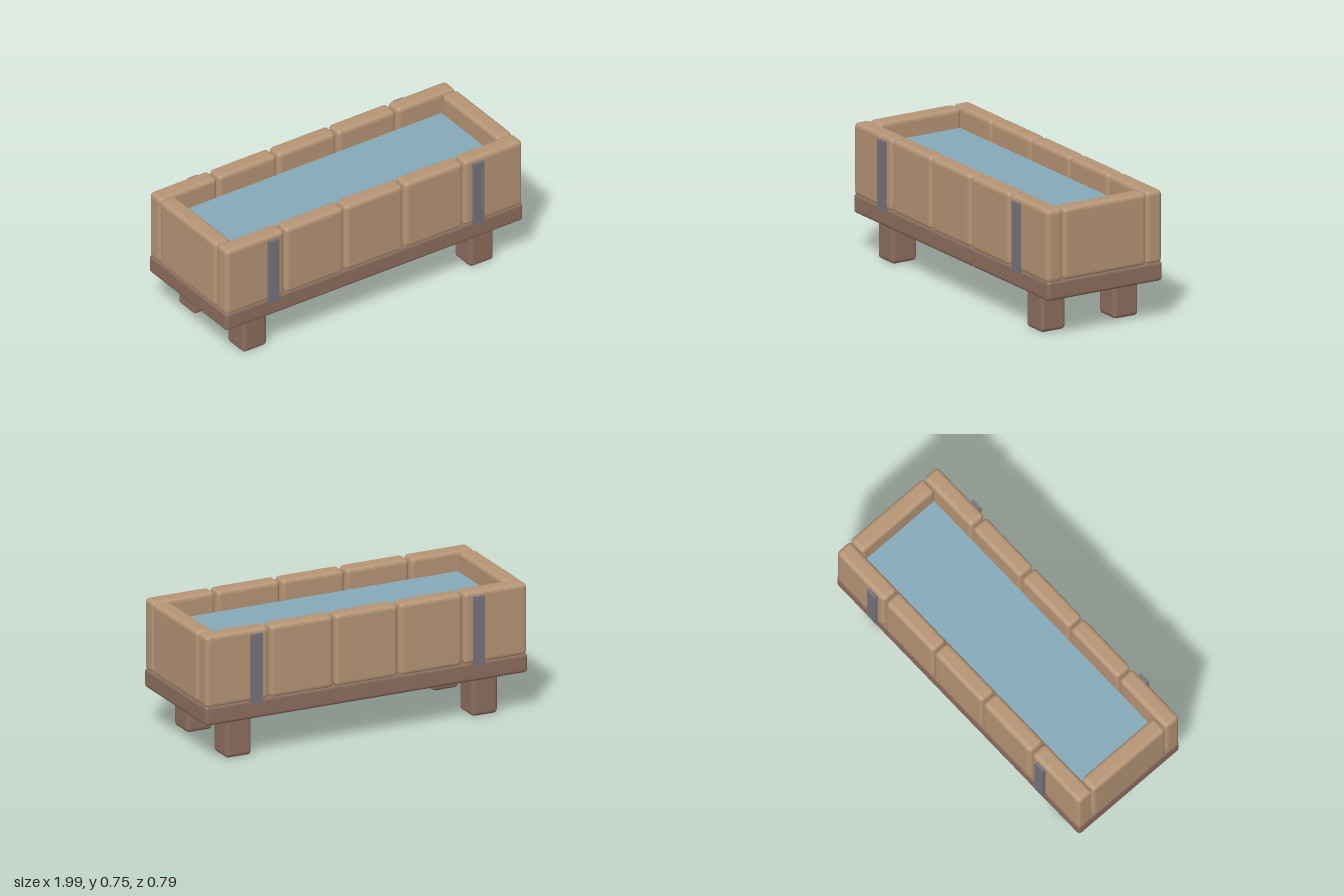
import * as THREE from 'three';
import { RoundedBoxGeometry } from 'three/addons/geometries/RoundedBoxGeometry.js';

const paint = (name, color) => {
  const m = new THREE.MeshStandardMaterial({ color, flatShading: true });
  m.name = name;
  return m;
};

export function createModel() {
  const group = new THREE.Group();
  const lightWood = paint('light wood', 0xb69575);
  const darkWood = paint('dark wood', 0x8d6e5d);
  const metal = paint('grey metal', 0x77737d);
  const waterBlue = paint('water blue', 0x86aab9);

  const add = (name, geometry, material, x, y, z) => {
    const mesh = new THREE.Mesh(geometry, material);
    mesh.name = name;
    mesh.position.set(x, y, z);
    group.add(mesh);
    return mesh;
  };
  // Block with softened edges, standing on height y0
  const block = (name, material, w, y0, y1, d, r, x, z) =>
    add(name, new RoundedBoxGeometry(w, y1 - y0, d, 2, r), material, x, (y0 + y1) / 2, z);

  // Base slab
  block('base', darkWood, 1.99, 0.23, 0.342, 0.75, 0.018, 0, 0);

  // Legs
  for (const sx of [-1, 1]) for (const sz of [-1, 1])
    block('leg', darkWood, 0.16, 0, 0.26, 0.16, 0.022, sx * 0.76, sz * 0.237);

  // Five wall planks along the front and back, with narrow gaps
  for (const sz of [-1, 1]) for (let i = -2; i <= 2; i++)
    block('sidePlank', lightWood, 0.388, 0.332, 0.752, 0.102, 0.024, i * 0.399, sz * 0.324);

  // One wide plank closing each end
  for (const sx of [-1, 1])
    block('endPlank', lightWood, 0.103, 0.335, 0.75, 0.54, 0.024, sx * 0.945, 0);

  // Metal straps on the outside of the long walls
  for (const sx of [-1, 1]) for (const sz of [-1, 1])
    add('strap', new THREE.BoxGeometry(0.065, 0.4, 0.03), metal, sx * 0.687, 0.528, sz * 0.381);

  // Water surface
  add('water', new THREE.BoxGeometry(1.76, 0.008, 0.5), waterBlue, 0, 0.64, 0);

  return group;
}
